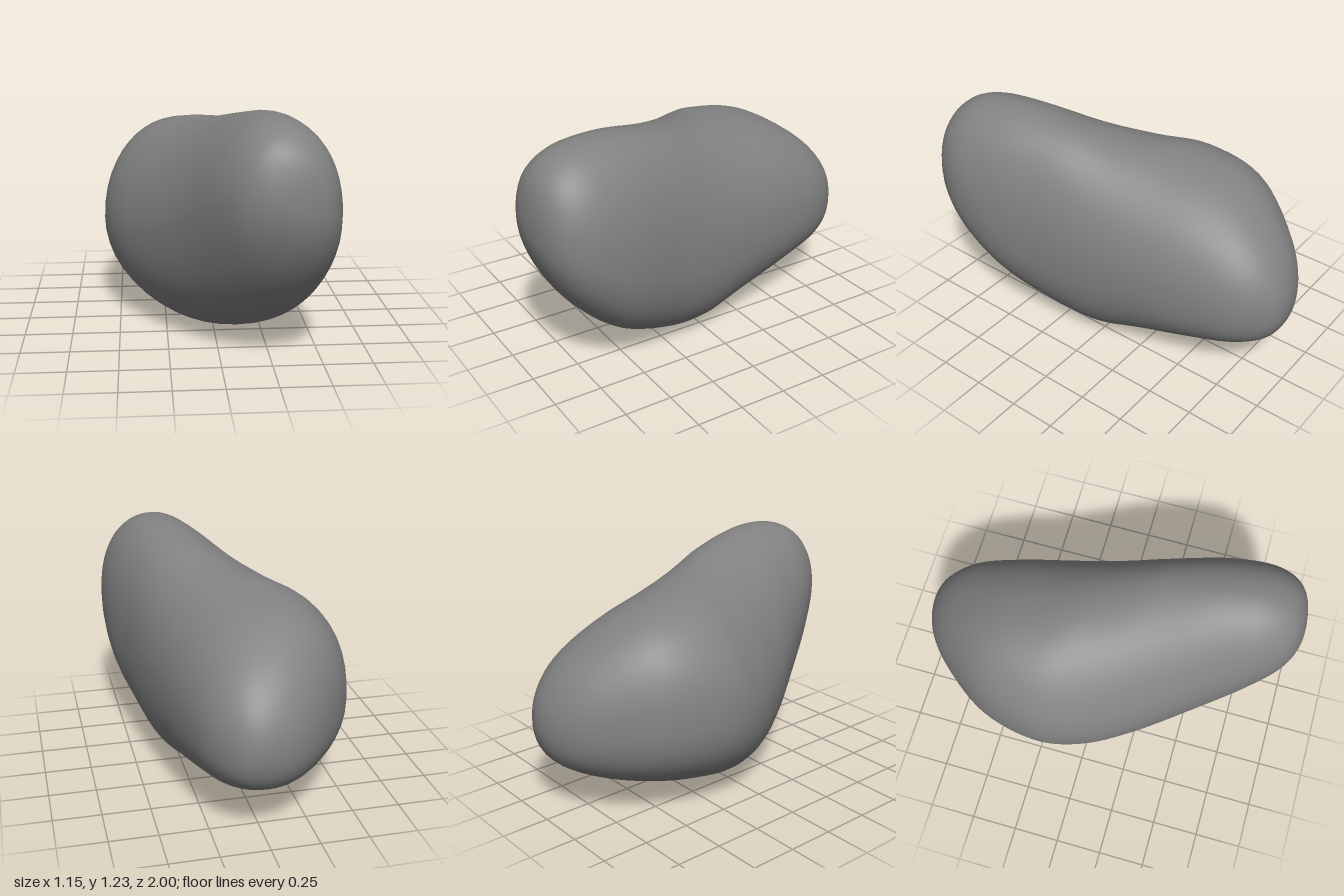
import * as THREE from 'three';

// Cross-sections from front to back. Each gives z, then the extreme points
// of an egg-shaped outline: left x,y - right x,y - top x,y - bottom x,y,
// and last the hollowness of its upper left shoulder (lower is fuller).
const SECTIONS = [
  [1.0, 0.24, 0.87, 0.24, 0.87, 0.24, 0.87, 0.24, 0.87, 1.0],
  [0.95, 0.08, 0.87, 0.46, 0.84, 0.25, 1.10, 0.26, 0.65, 1.0],
  [0.8, -0.05, 0.82, 0.56, 0.77, 0.25, 1.21, 0.24, 0.41, 1.05],
  [0.55, -0.205, 0.68, 0.565, 0.66, 0.22, 1.23, 0.17, 0.175, 1.13],
  [0.25, -0.4, 0.56, 0.505, 0.58, 0.17, 1.18, 0.09, 0.035, 1.14],
  [0.0, -0.53, 0.52, 0.46, 0.53, 0.06, 1.12, 0.05, 0.005, 1.05],
  [-0.25, -0.58, 0.52, 0.415, 0.52, -0.08, 1.085, -0.02, 0.06, 0.95],
  [-0.55, -0.51, 0.52, 0.355, 0.51, -0.13, 1.015, -0.06, 0.14, 0.9],
  [-0.8, -0.335, 0.51, 0.28, 0.51, -0.05, 0.865, -0.03, 0.225, 0.92],
  [-0.95, -0.16, 0.5, 0.165, 0.5, 0.01, 0.69, 0.01, 0.33, 0.94],
  [-1.0, 0.03, 0.5, 0.03, 0.5, 0.03, 0.5, 0.03, 0.5, 0.94],
];

// Mirror a section through the tip so that both ends close round
const beyond = (tip, next) => tip.map((v, k) => (k === 0 ? next[0] : 2 * v - next[k]));

function sectionAt(t) {
  const n = SECTIONS.length;
  const i = Math.min(Math.floor(t), n - 2);
  const f = t - i;
  const p1 = SECTIONS[i];
  const p2 = SECTIONS[i + 1];
  const p0 = SECTIONS[i - 1] ?? beyond(p1, p2);
  const p3 = SECTIONS[i + 2] ?? beyond(p2, p1);
  return p1.map((b, k) => {
    const a = p0[k], c = p2[k], d = p3[k];
    return b + 0.5 * f * (c - a + f * (2 * a - 5 * b + 4 * c - d + f * (3 * (b - c) + d - a)));
  });
}

// Four rounded quarters joined at the extreme points
function outlinePoint(section, angle) {
  const [z, lx, ly, rx, ry, tx, ty, bx, by, shoulder] = section;
  const c = Math.cos(angle);
  const s = Math.sin(angle);
  const [sx, sy] = c >= 0 ? [rx, ry] : [lx, ly];
  const [ex, ey] = s >= 0 ? [tx, ty] : [bx, by];
  let power = 0.93;
  if (c < 0 && s > 0) power = shoulder;
  if (c > 0 && s < 0) power = 0.86;
  const u = Math.pow(Math.abs(c), power);
  const v = Math.pow(Math.abs(s), power);
  return [ex + (sx - ex) * u, sy + (ey - sy) * v, z];
}

function stoneGeometry(rings, sides) {
  const positions = [];
  const index = [];
  const span = SECTIONS.length - 1;
  for (let i = 1; i < rings; i++) {
    const section = sectionAt((i / rings) * span);
    for (let j = 0; j < sides; j++) {
      positions.push(...outlinePoint(section, (j / sides) * Math.PI * 2));
    }
  }
  const front = (rings - 1) * sides;
  const back = front + 1;
  for (const tip of [SECTIONS[0], SECTIONS[span]]) positions.push(tip[1], tip[2], tip[0]);

  for (let j = 0; j < sides; j++) {
    const k = (j + 1) % sides;
    for (let i = 0; i < rings - 2; i++) {
      const a = i * sides;
      const b = a + sides;
      index.push(a + j, b + j, a + k, a + k, b + j, b + k);
    }
    // Close the two tips
    const last = (rings - 2) * sides;
    index.push(front, j, k, back, last + k, last + j);
  }

  const geometry = new THREE.BufferGeometry();
  geometry.setAttribute('position', new THREE.Float32BufferAttribute(positions, 3));
  geometry.setIndex(index);
  geometry.computeVertexNormals();
  return geometry;
}

export function createModel() {
  const group = new THREE.Group();
  group.name = 'smoothStone';
  const stone = new THREE.Mesh(
    stoneGeometry(60, 48),
    new THREE.MeshStandardMaterial({ color: 0x828282 })
  );
  stone.name = 'stone';
  group.add(stone);
  return group;
}
